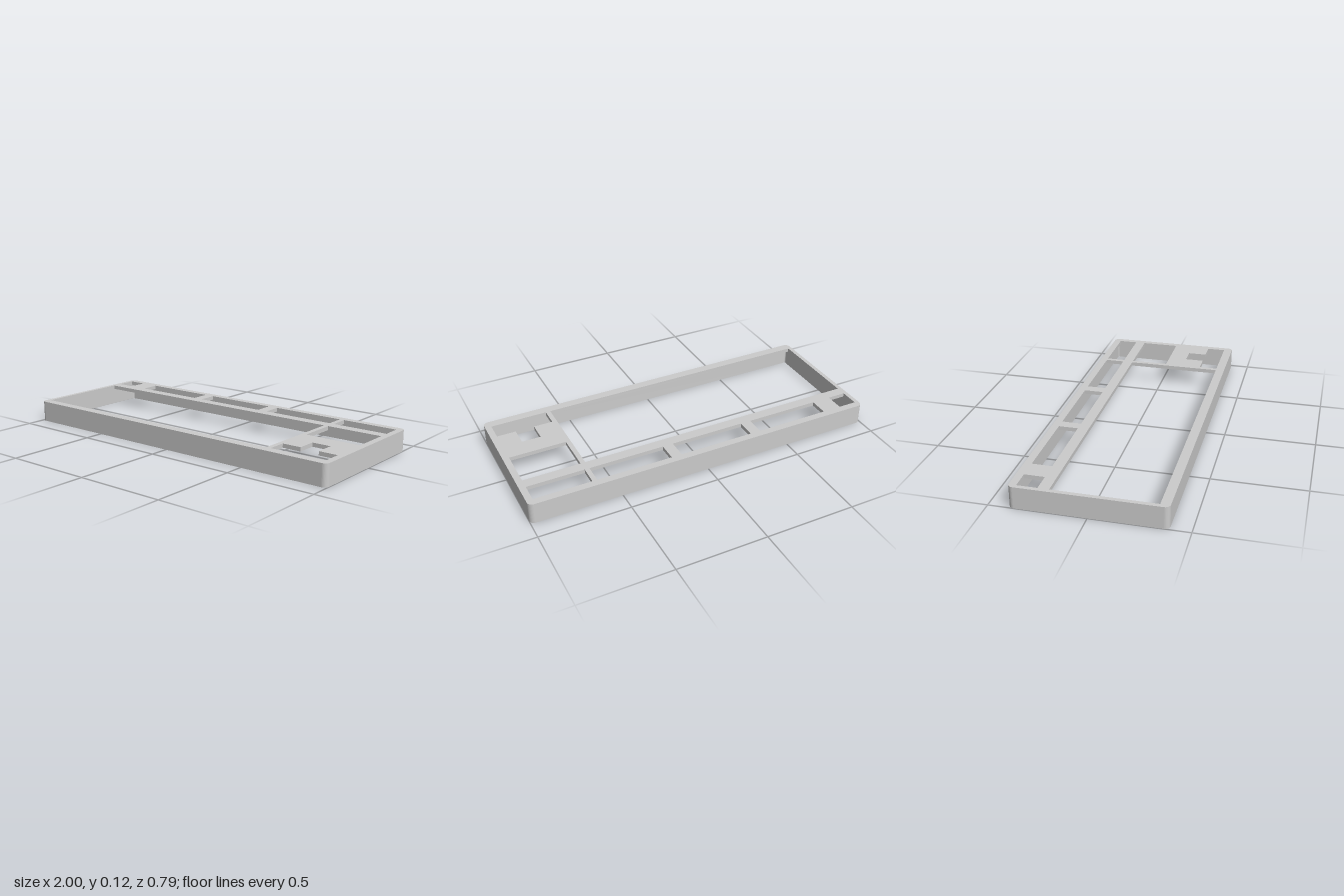
import * as THREE from 'three';

const W = 2, D = 0.79, H = 0.118;   // outer size
const WALL = 0.02, PLATE = 0.022, RADIUS = 0.028;

// Rounded rectangle centred on the origin, in x/z
function roundedRect(path, w, d, r) {
  const x = w / 2, z = d / 2;
  path.moveTo(-x + r, -z);
  path.lineTo(x - r, -z);
  path.absarc(x - r, -z + r, r, -Math.PI / 2, 0);
  path.lineTo(x, z - r);
  path.absarc(x - r, z - r, r, 0, Math.PI / 2);
  path.lineTo(-x + r, z);
  path.absarc(-x + r, z - r, r, Math.PI / 2, Math.PI);
  path.lineTo(-x, -z + r);
  path.absarc(-x + r, -z + r, r, Math.PI, Math.PI * 1.5);
  return path;
}

const polygon = (pts) => new THREE.Path(pts.map(([x, z]) => new THREE.Vector2(x, z)));
const rect = (x0, x1, z0, z1) => polygon([[x0, z0], [x0, z1], [x1, z1], [x1, z0]]);

// Extrudes an x/z shape downwards from the given height
function slab(name, shape, top, depth, material) {
  const geometry = new THREE.ExtrudeGeometry(shape, { depth, bevelEnabled: false, curveSegments: 8 });
  geometry.rotateX(Math.PI / 2);
  geometry.translate(0, top, 0);
  const mesh = new THREE.Mesh(geometry, material);
  mesh.name = name;
  return mesh;
}

export function createModel() {
  const group = new THREE.Group();
  group.name = 'keyboardCase';
  const material = new THREE.MeshStandardMaterial({ color: 0xcccccc });

  // Top plate with the key openings
  const plate = roundedRect(new THREE.Shape(), W, D, RADIUS);
  const keyRow = [[-0.977, -0.872], [-0.763, -0.34], [-0.282, 0.141], [0.2, 0.622], [0.648, 0.965]];
  for (const [x0, x1] of keyRow) plate.holes.push(rect(x0, x1, -0.355, -0.248));
  plate.holes.push(rect(-0.977, 0.622, -0.19, 0.345));   // main key block
  plate.holes.push(rect(0.648, 0.965, -0.19, 0.025));    // navigation keys
  plate.holes.push(polygon([                             // arrow keys
    [0.648, 0.24], [0.648, 0.345], [0.965, 0.345], [0.965, 0.24],
    [0.859, 0.24], [0.859, 0.132], [0.754, 0.132], [0.754, 0.24],
  ]));
  group.add(slab('topPlate', plate, H, PLATE, material));

  // Thin side walls, open underneath
  const walls = roundedRect(new THREE.Shape(), W, D, RADIUS);
  walls.holes.push(roundedRect(new THREE.Path(), W - 2 * WALL, D - 2 * WALL, RADIUS - WALL));
  group.add(slab('sideWalls', walls, H - PLATE, H - PLATE, material));

  return group;
}
